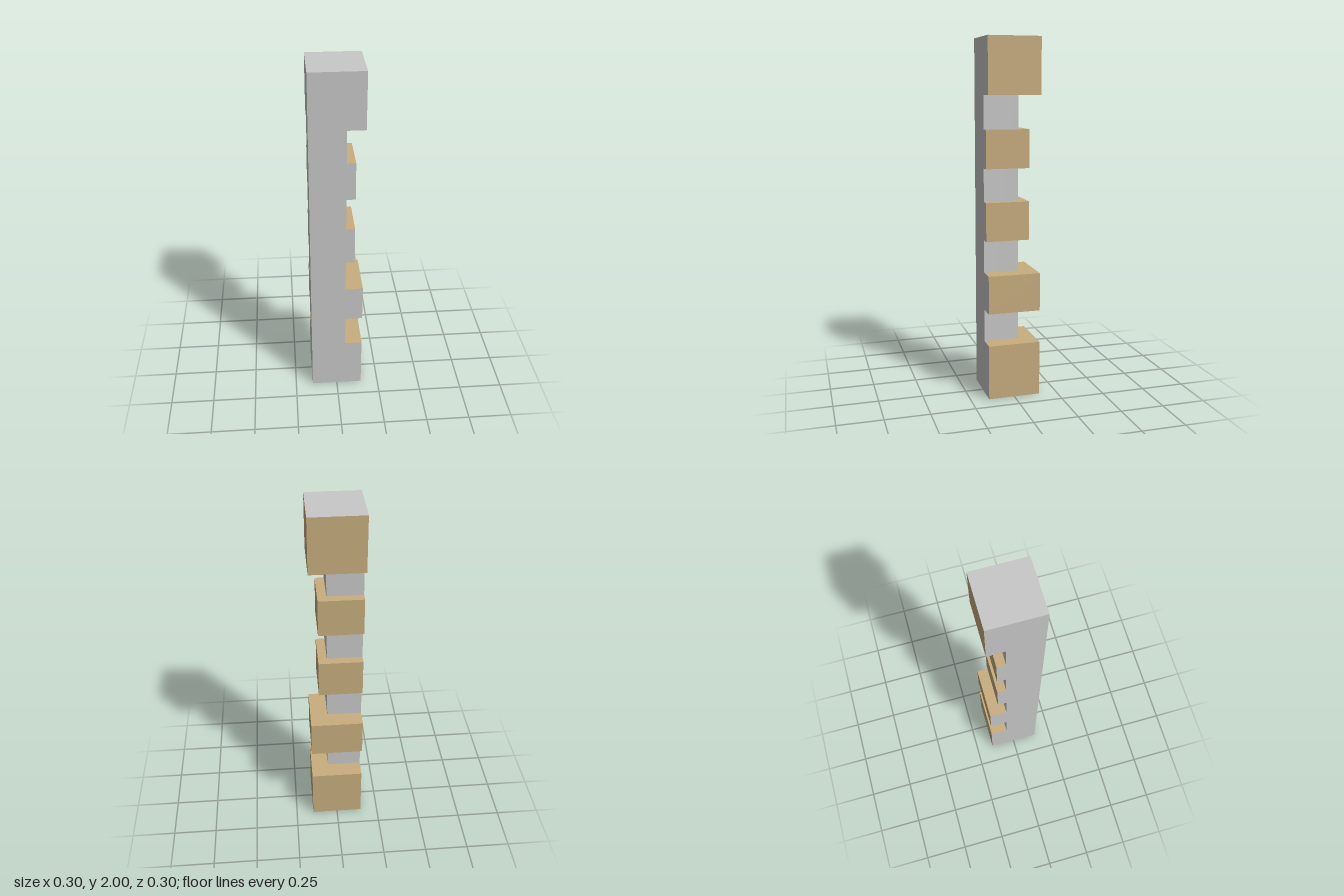
import * as THREE from 'three';

const HALF = 0.148;        // half width of the square post
const CORE = HALF / 3;     // the notches are cut back to here
const STEP = HALF * 2 / 3; // reach of the shallower blocks

// bottom, top and reach of each block
const BLOCKS = [
  [0, 0.31, HALF],
  [0.495, 0.71, HALF],
  [0.894, 1.11, STEP],
  [1.295, 1.508, STEP],
  [1.692, 2, HALF],
];

export function createModel() {
  const grey = new THREE.MeshStandardMaterial({ color: 0xc8c8c8 });
  grey.name = 'light grey';
  const tan = new THREE.MeshStandardMaterial({ color: 0xc8ad7f });
  tan.name = 'tan';

  const model = new THREE.Group();
  model.name = 'notchedPost';

  // Box between two limits on each axis
  function box(name, [x0, x1], [y0, y1], [z0, z1], material, parent) {
    const mesh = new THREE.Mesh(new THREE.BoxGeometry(x1 - x0, y1 - y0, z1 - z0), material);
    mesh.position.set((x0 + x1) / 2, (y0 + y1) / 2, (z0 + z1) / 2);
    mesh.name = name;
    parent.add(mesh);
  }

  // Full-height column in the front corner
  box('core', [-HALF, CORE], [0, 2], [-CORE, HALF], grey, model);

  // L-shaped blocks wrapping the +x and -z sides; cut ends are grey
  BLOCKS.forEach(([y0, y1, reach], i) => {
    const block = new THREE.Group();
    block.name = `block${i + 1}`;
    const faces = [tan, grey, y1 === 2 ? grey : tan, y0 === 0 ? grey : tan, grey, tan];
    box('sideLeg', [CORE, reach], [y0, y1], [-reach, HALF], faces, block);
    box('backLeg', [-HALF, CORE], [y0, y1], [-reach, -CORE], faces, block);
    model.add(block);
  });

  return model;
}
